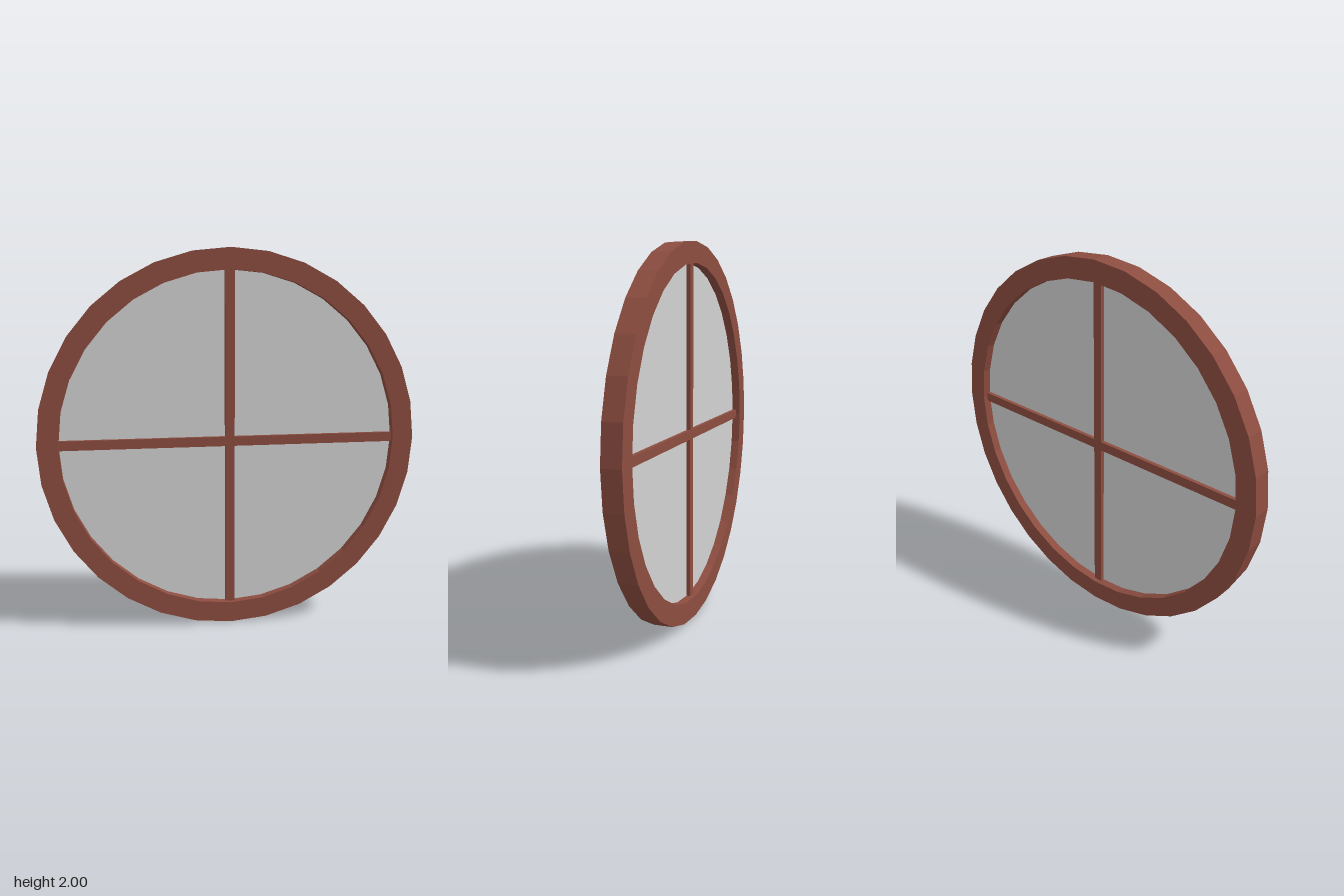
import * as THREE from 'three';

const SIDES = 32, OUTER = 1, INNER = 0.89, DEPTH = 0.1, BAR = 0.05;

// Regular polygon outline with a corner on each axis
function ringPoints(radius) {
  return Array.from({ length: SIDES }, (_, i) => {
    const a = (i / SIDES) * Math.PI * 2;
    return new THREE.Vector2(Math.cos(a) * radius, Math.sin(a) * radius);
  });
}

export function createModel() {
  const wood = new THREE.MeshStandardMaterial({ color: 0x8d4d40, flatShading: true });
  wood.name = 'reddish brown wood';
  const glass = new THREE.MeshStandardMaterial({ color: 0xd2d2d2, flatShading: true });
  glass.name = 'pale grey glass';

  const model = new THREE.Group();
  model.name = 'roundWindow';
  const add = (name, geometry, material) => {
    const mesh = new THREE.Mesh(geometry, material);
    mesh.name = name;
    mesh.position.y = OUTER;
    model.add(mesh);
  };

  // Faceted round frame
  const shape = new THREE.Shape(ringPoints(OUTER));
  shape.holes.push(new THREE.Path(ringPoints(INNER)));
  const frame = new THREE.ExtrudeGeometry(shape, { depth: DEPTH, bevelEnabled: false });
  frame.translate(0, 0, -DEPTH / 2);
  add('frame', frame, wood);

  // Thin pane in the middle of the frame's depth
  const pane = new THREE.ExtrudeGeometry(new THREE.Shape(ringPoints(INNER)), { depth: 0.008, bevelEnabled: false });
  pane.translate(0, 0, -0.004);
  add('pane', pane, glass);

  // Crossing glazing bars, standing proud of the pane on both sides
  add('verticalBar', new THREE.BoxGeometry(BAR, INNER * 2, BAR), wood);
  add('horizontalBar', new THREE.BoxGeometry(INNER * 2, BAR, BAR), wood);

  return model;
}
